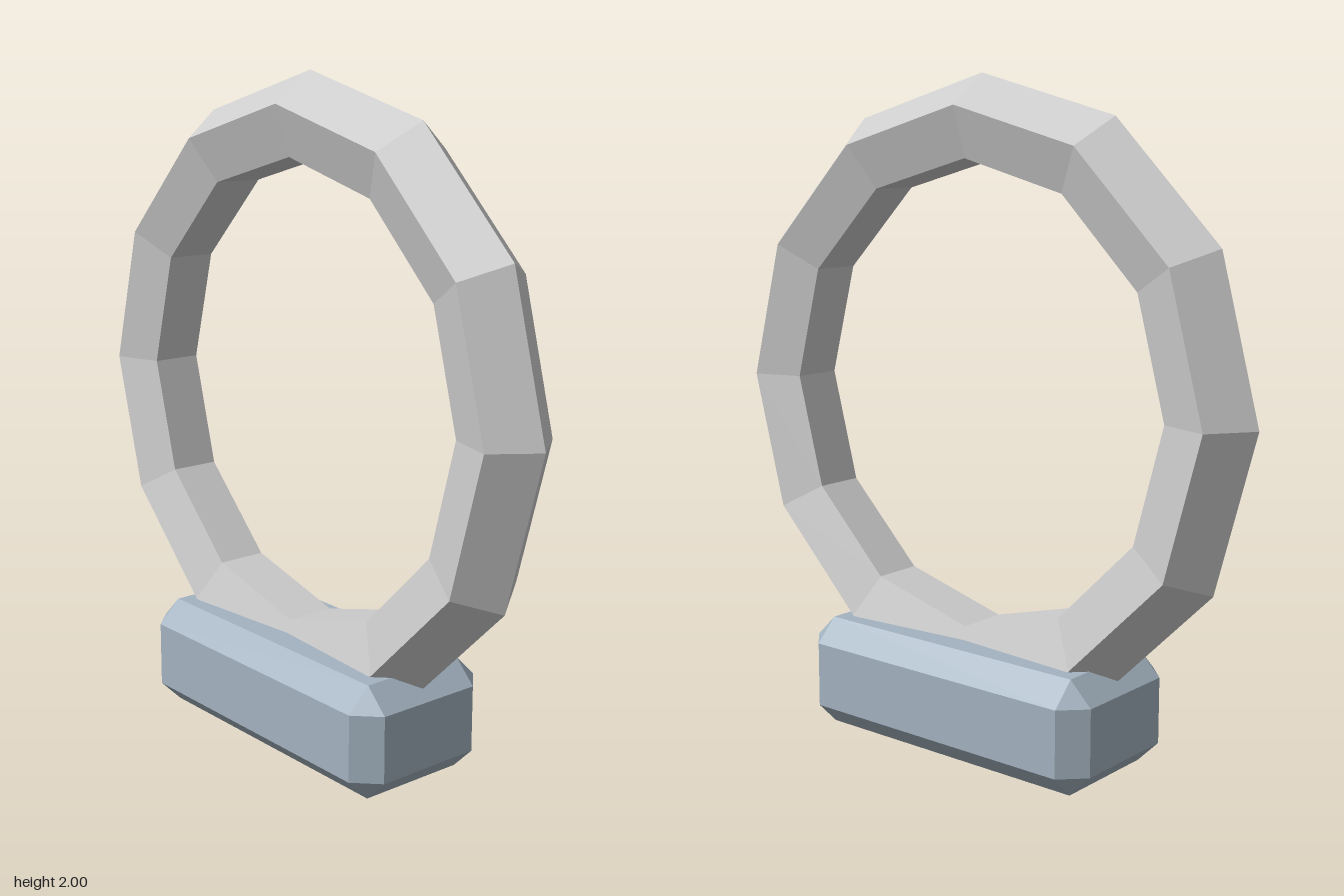
import * as THREE from 'three';
import { ConvexGeometry } from 'three/addons/geometries/ConvexGeometry.js';

// Box with flat chamfers on every edge and a triangle at every corner
function chamferedBox(width, height, depth, chamfer) {
  const [x, y, z] = [width / 2, height / 2, depth / 2];
  const points = [];
  for (const sx of [-1, 1]) for (const sy of [-1, 1]) for (const sz of [-1, 1]) {
    points.push(
      new THREE.Vector3(sx * x, sy * (y - chamfer), sz * (z - chamfer)),
      new THREE.Vector3(sx * (x - chamfer), sy * y, sz * (z - chamfer)),
      new THREE.Vector3(sx * (x - chamfer), sy * (y - chamfer), sz * z)
    );
  }
  return new ConvexGeometry(points);
}

export function createModel() {
  const group = new THREE.Group();

  // Faceted ring with a five-sided section, its ridge pointing outward
  const ring = new THREE.Mesh(
    new THREE.TorusGeometry(0.798, 0.133, 5, 12),
    new THREE.MeshStandardMaterial({ color: 0xcccccc, flatShading: true })
  );
  ring.name = 'ring';
  ring.position.y = 1.069;
  group.add(ring);

  // Chamfered block that holds the bottom of the ring
  const base = new THREE.Mesh(
    chamferedBox(1.06, 0.34, 0.48, 0.07),
    new THREE.MeshStandardMaterial({ color: 0xa3b3c0, flatShading: true })
  );
  base.name = 'base';
  base.position.y = 0.17;
  group.add(base);

  return group;
}
